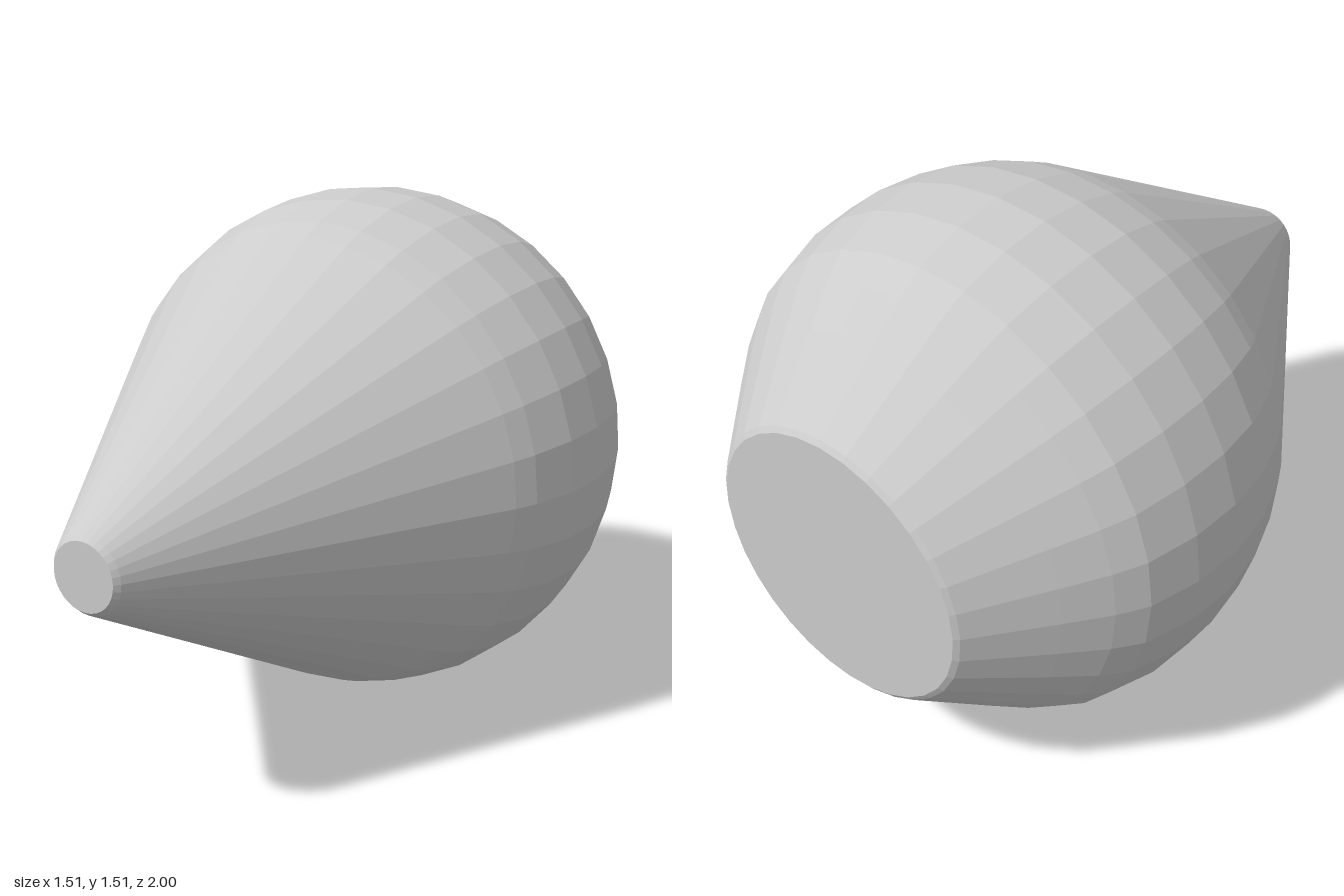
import * as THREE from 'three';

const RADIUS = 0.755;
const BULGE_Z = -0.335;
const SIDES = 32;

// Point on the round bulge, at an angle (degrees) forward of its widest ring
function bulgePoint(degrees) {
  const a = THREE.MathUtils.degToRad(degrees);
  return [RADIUS * Math.cos(a), BULGE_Z + RADIUS * Math.sin(a)];
}

export function createModel() {
  const group = new THREE.Group();
  group.name = 'taperedBulb';

  // Profile as [radius, z], from the flat back to the narrow front tip
  const profile = [
    [0, -1], [0.39, -1], [0.405, -0.99],       // flat back with a small bevel
    [0.565, -0.8], [0.647, -0.7],              // back taper
    ...[-22.5, -11.25, 0, 11.25, 22.5, 28].map(bulgePoint), // round bulge
    [0.105, 0.985], [0.092, 1], [0, 1],        // long front cone and blunt tip
  ].map(([r, z]) => new THREE.Vector2(r, z));

  const geometry = new THREE.LatheGeometry(profile, SIDES);
  geometry.rotateX(Math.PI / 2);
  geometry.translate(0, RADIUS, 0);

  const body = new THREE.Mesh(
    geometry,
    new THREE.MeshStandardMaterial({ color: 0xcccccc, flatShading: true })
  );
  body.name = 'bulbBody';
  group.add(body);
  return group;
}
